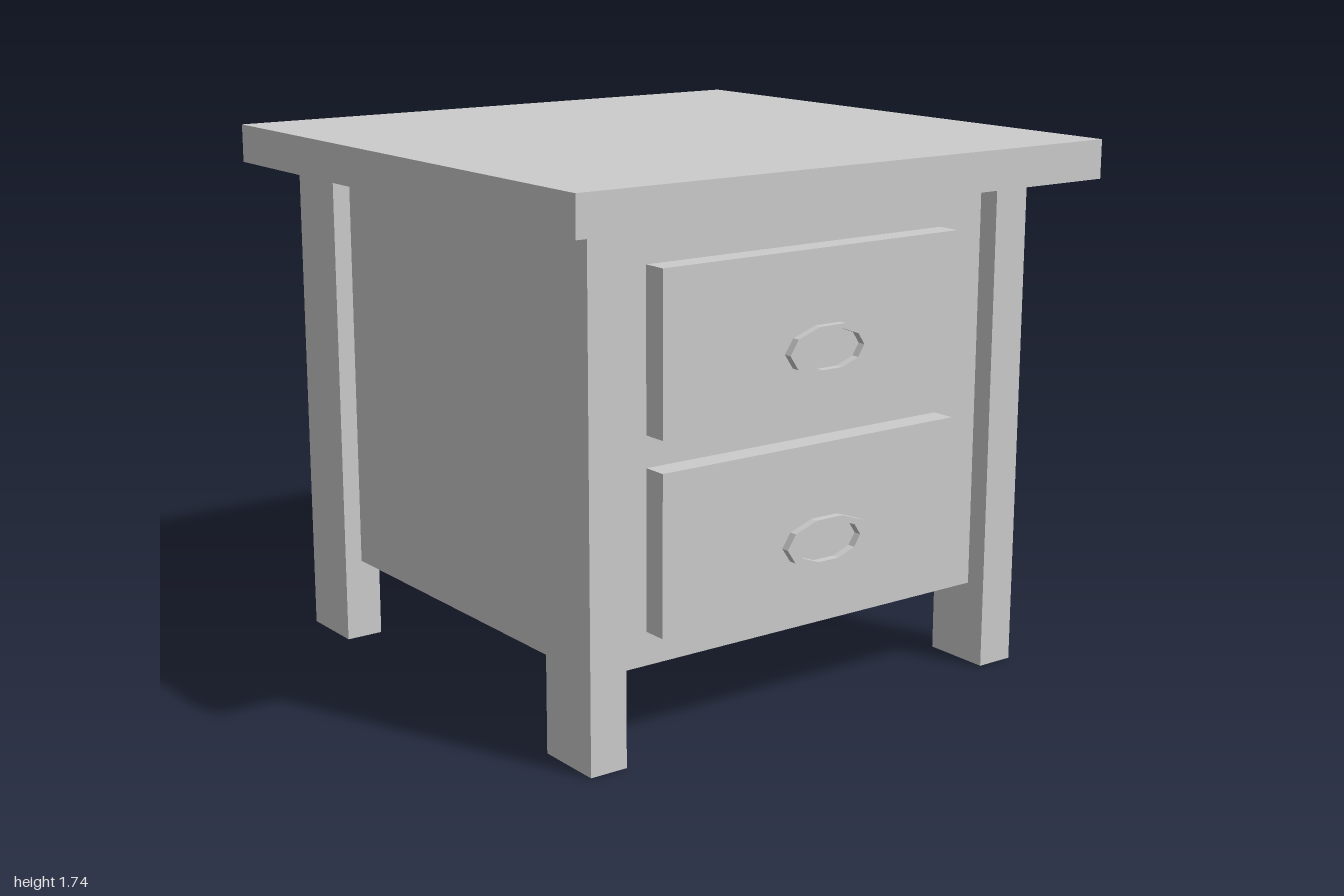
import * as THREE from 'three';

const material = new THREE.MeshStandardMaterial({ color: 0xcccccc, flatShading: true });

export function createModel() {
  const model = new THREE.Group();
  model.name = 'nightstand';

  // Box given by its lower and upper corners
  function box(name, [x0, y0, z0], [x1, y1, z1]) {
    const mesh = new THREE.Mesh(new THREE.BoxGeometry(x1 - x0, y1 - y0, z1 - z0), material);
    mesh.position.set((x0 + x1) / 2, (y0 + y1) / 2, (z0 + z1) / 2);
    mesh.name = name;
    model.add(mesh);
  }

  // Ten-sided oval outline
  function oval(Type, rx, ry) {
    const points = [];
    for (let i = 0; i < 10; i++) {
      const a = (i / 10) * Math.PI * 2;
      points.push(new THREE.Vector2(rx * Math.cos(a), ry * Math.sin(a)));
    }
    return new Type(points);
  }

  box('top', [-1, 1.61, -0.988], [1, 1.735, 0.988]);
  box('cabinetBody', [-0.80, 0.27, -0.78], [0.77, 1.61, 0.765]);

  // Four legs, standing proud of the body
  for (const [side, x0, x1] of [['Right', -0.86, -0.733], ['Left', 0.70, 0.83]]) {
    box('front' + side + 'Leg', [x0, 0, 0.605], [x1, 1.61, 0.835]);
    box('back' + side + 'Leg', [x0, 0, -0.86], [x1, 1.61, -0.627]);
  }

  // Oval ring pull, shared by both drawers
  const ring = oval(THREE.Shape, 0.163, 0.078);
  ring.holes.push(oval(THREE.Path, 0.125, 0.062));
  const ringGeometry = new THREE.ExtrudeGeometry(ring, { depth: 0.026, bevelEnabled: false });

  // Drawer fronts with their pulls
  for (const [name, y] of [['lower', 0.375], ['upper', 0.973]]) {
    box(name + 'Drawer', [-0.61, y, 0.75], [0.525, y + 0.5, 0.845]);
    const handle = new THREE.Mesh(ringGeometry, material);
    handle.position.set(-0.006, y + 0.196, 0.853);
    handle.name = name + 'Handle';
    model.add(handle);
  }

  return model;
}
